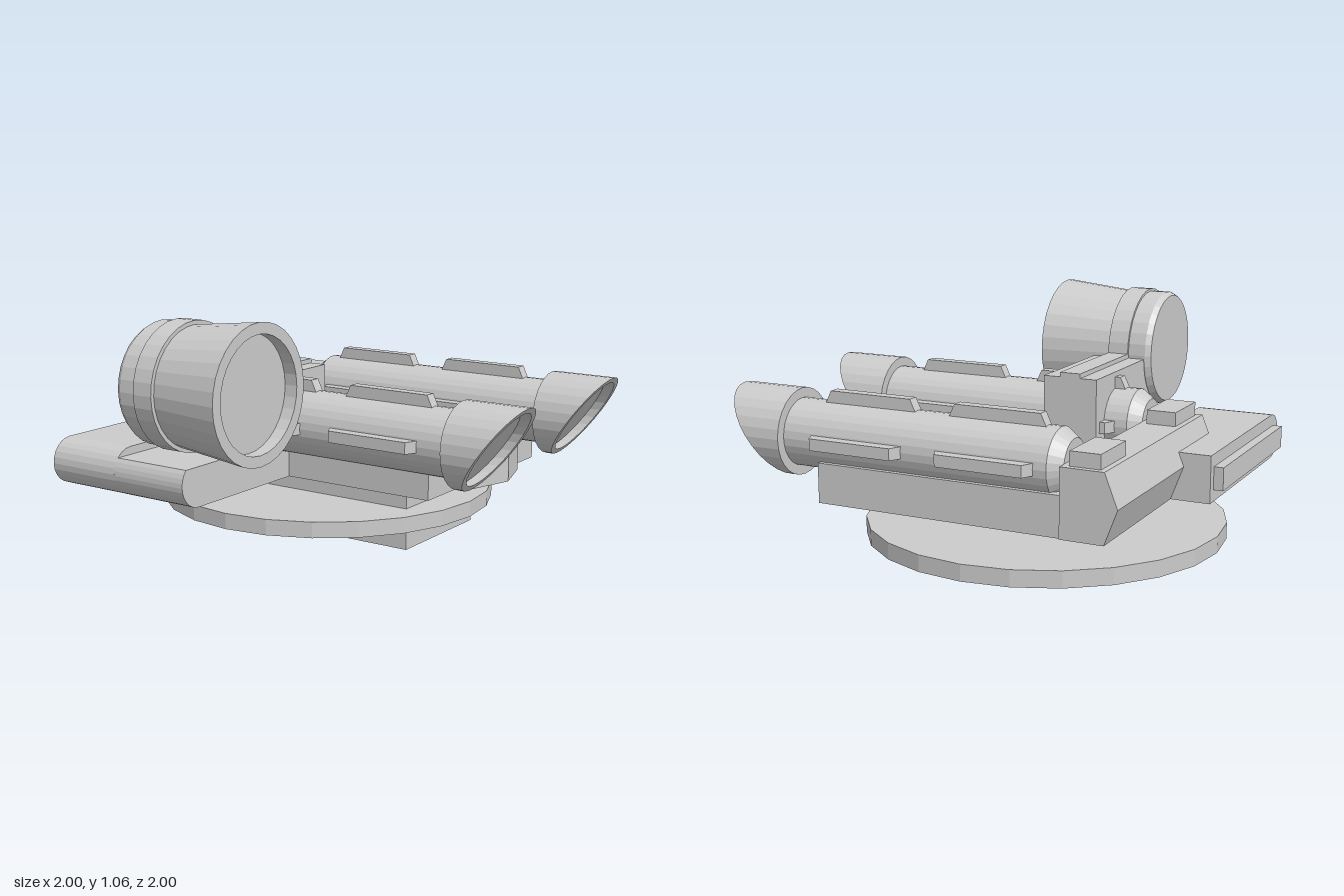
import * as THREE from 'three';

const mat = new THREE.MeshStandardMaterial({ color: 0xcccccc, flatShading: true });

function add(parent, name, geometry) {
  const mesh = new THREE.Mesh(geometry, mat);
  mesh.name = name;
  parent.add(mesh);
  return mesh;
}

// Box given by its limits on each axis
function box(parent, name, [x0, x1], [y0, y1], [z0, z1]) {
  const g = new THREE.BoxGeometry(x1 - x0, y1 - y0, z1 - z0);
  g.translate((x0 + x1) / 2, (y0 + y1) / 2, (z0 + z1) / 2);
  return add(parent, name, g);
}

// Polygon of [u, v] points extruded to a depth
function prism(points, depth) {
  const shape = new THREE.Shape(points.map(([u, v]) => new THREE.Vector2(u, v)));
  return new THREE.ExtrudeGeometry(shape, { depth, bevelEnabled: false });
}

// Turned part along x; profile is [radius, x] from the -x end to the +x end
function turned(profile, segments = 28) {
  const g = new THREE.LatheGeometry(profile.map(([r, x]) => new THREE.Vector2(r, x)), segments);
  return g.rotateZ(-Math.PI / 2);
}

// Barrel with a slanted hollow muzzle and three pairs of fins
function makeBarrel(z) {
  const barrel = new THREE.Group();
  barrel.name = 'barrel';
  add(barrel, 'tube', turned([[0, -0.56], [0.105, -0.56], [0.145, -0.505], [0.145, 0.71]]));

  const cut = 0.865, slope = 0.7;
  const muzzle = turned([[0.1, 0.7], [0.187, 0.7], [0.187, cut], [0.163, cut],
    [0.163, cut - 0.05], [0, cut - 0.05]]);
  const p = muzzle.attributes.position;
  for (let i = 0; i < p.count; i++) {
    if (p.getX(i) > 0.75) p.setX(i, p.getX(i) + slope * p.getY(i));
  }
  add(barrel, 'muzzle', muzzle);

  for (const angle of [-Math.PI / 2, 0, Math.PI / 2]) {
    for (const x of [-0.45, 0.135]) {
      const g = prism([[x, 0.12], [x + 0.43, 0.12], [x + 0.43, 0.14],
        [x + 0.405, 0.193], [x + 0.025, 0.193], [x, 0.14]], 0.05);
      g.translate(0, 0, -0.025).rotateX(angle);
      add(barrel, 'fin', g);
    }
  }
  barrel.position.set(0, 0.535, z);
  return barrel;
}

// Slab with a rounded front edge, cut off at height top
function roundedSlab(x0, x1, z0, top) {
  const r = 0.103, cy = 0.377, cz = 0.757;
  const end = Math.asin(Math.min(1, (top - cy) / r));
  const points = [[z0, cy - r]];
  for (let i = 0; i <= 12; i++) {
    const a = -Math.PI / 2 + (end + Math.PI / 2) * i / 12;
    points.push([cz + r * Math.cos(a), cy + r * Math.sin(a)]);
  }
  points.push([z0, top]);
  return prism(points, x1 - x0).rotateY(-Math.PI / 2).translate(x1, 0, 0);
}

export function createModel() {
  const model = new THREE.Group();
  model.name = 'turret';

  // Turntable and pedestal
  const disk = new THREE.CylinderGeometry(0.765, 0.765, 0.07, 24);
  add(model, 'turntable', disk.translate(-0.235, 0.15, -0.235));
  box(model, 'pedestal', [-0.56, 0.365], [0, 0.28], [-0.535, 0.03]);

  // Main deck with pointed nose and cross beam
  box(model, 'deck', [-0.57, 0.54], [0.274, 0.445], [-0.8, 0.14]);
  const nose = prism([[0.5, 0.055], [0.5, 0.475], [0.635, 0.475], [0.7, 0.265], [0.635, 0.055]].reverse(), 0.125);
  add(model, 'nose', nose.rotateX(-Math.PI / 2).translate(0, 0.295, 0));
  box(model, 'crossBeam', [-0.01, 0.13], [0.43, 0.52], [-0.6, 0.08]);
  box(model, 'crossBeamPad', [0.01, 0.1], [0.51, 0.575], [-0.39, -0.15]);

  // Twin barrels with the breech beam behind them
  for (const z of [-0.665, 0.135]) model.add(makeBarrel(z));
  const beam = prism([[-0.745, 0.274], [-0.56, 0.274], [-0.56, 0.56], [-0.745, 0.56], [-0.8, 0.42]], 1.09);
  add(model, 'breechBeam', beam.translate(0, 0, -0.81));
  for (const z of [-0.785, 0.008]) box(model, 'breechPad', [-0.72, -0.59], [0.55, 0.62], [z, z + 0.245]);

  // Side platform
  add(model, 'platform', roundedSlab(-0.918, -0.56, -0.1, 0.48));
  add(model, 'platformStep', roundedSlab(-0.56, -0.185, 0.1, 0.445));
  box(model, 'platformRail', [-0.96, -0.9], [0.325, 0.425], [-0.06, 0.785]);

  // Lamp and its bracket
  box(model, 'lampBracket', [-0.4, -0.155], [0.44, 0.75], [-0.095, 0.53]);
  box(model, 'bracketRidge', [-0.325, -0.23], [0.7, 0.77], [-0.095, 0.53]);
  const lamp = turned([[0, -0.43], [0.248, -0.43], [0.263, -0.405], [0.263, -0.325],
    [0.274, -0.325], [0.274, -0.23], [0.257, -0.23], [0.293, 0.1],
    [0.245, 0.1], [0.245, 0.04], [0, 0.04]], 32);
  add(model, 'lamp', lamp.translate(0, 0.765, 0.707));

  return model;
}
